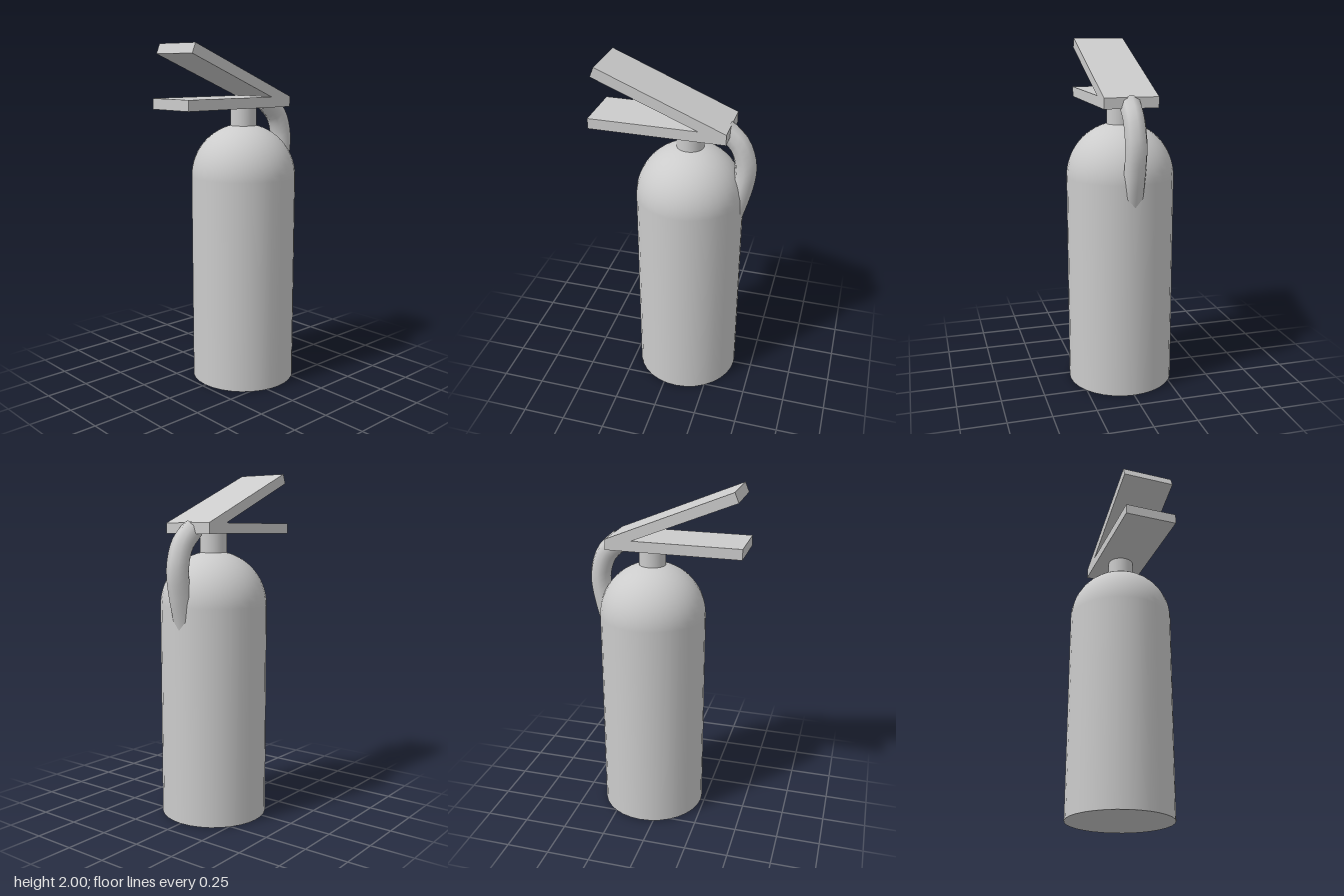
import * as THREE from 'three';

const AXIS_Z = -0.08; // centre line of the tank
const RADIUS = 0.308;

export function createModel() {
  const group = new THREE.Group();
  const material = new THREE.MeshStandardMaterial({ color: 0xcccccc });

  const add = (name, geometry, y = 0, z = 0) => {
    const mesh = new THREE.Mesh(geometry, material);
    mesh.name = name;
    mesh.position.set(0, y, z);
    group.add(mesh);
    return mesh;
  };

  // Tank: straight cylinder with a hemispherical shoulder
  add('tank', new THREE.CylinderGeometry(RADIUS, RADIUS, 1.24, 32), 0.62, AXIS_Z);
  add('dome', new THREE.SphereGeometry(RADIUS, 32, 16, 0, Math.PI * 2, 0, Math.PI / 2), 1.24, AXIS_Z);

  // Valve neck between the dome and the handle
  add('neck', new THREE.CylinderGeometry(0.077, 0.077, 0.15, 32), 1.58, AXIS_Z);

  // Carrying handle and raised squeeze lever, one V-shaped side profile (z, y)
  const profile = new THREE.Shape([
    [-0.31, 1.645], [0.46, 1.645], [0.46, 1.705], [-0.157, 1.705],
    [0.43, 1.945], [0.407, 2.0], [-0.31, 1.705],
  ].map(([z, y]) => new THREE.Vector2(z, y)));
  const width = 0.308;
  const handle = new THREE.ExtrudeGeometry(profile, { depth: width, bevelEnabled: false });
  handle.translate(0, 0, -width / 2);
  handle.rotateY(-Math.PI / 2);
  add('handleAndLever', handle);

  // Hose: leaves the back of the handle and bends down into the tank wall
  const path = new THREE.CatmullRomCurve3([
    [1.672, -0.265], [1.59, -0.352], [1.50, -0.388], [1.42, -0.395],
    [1.30, -0.375], [1.12, -0.325],
  ].map(([y, z]) => new THREE.Vector3(0, y, z)));
  const hose = add('hose', new THREE.TubeGeometry(path, 16, 0.062, 8, false));
  hose.material = material.clone();
  hose.material.side = THREE.DoubleSide;

  return group;
}
